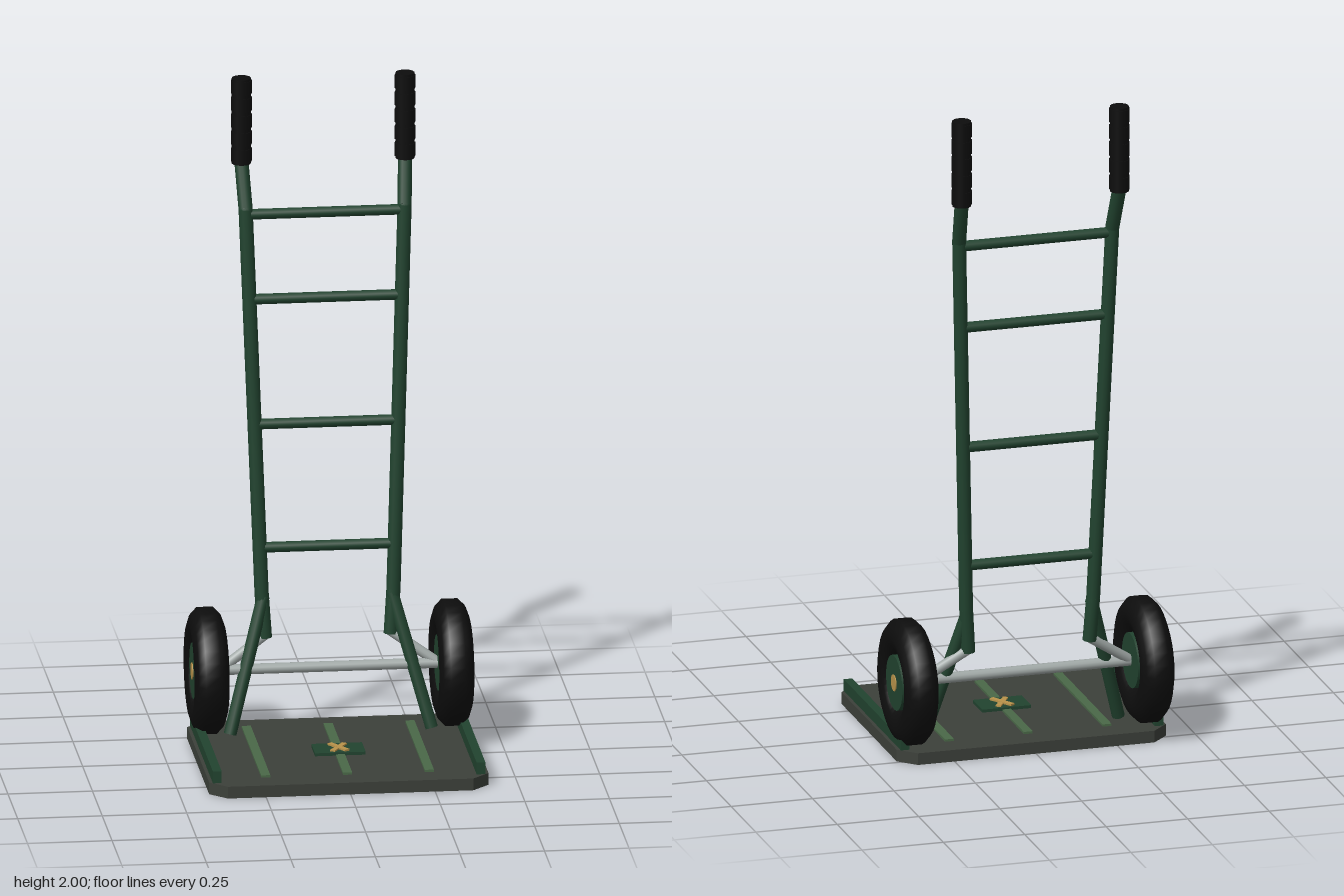
import * as THREE from 'three';

const mat = (name, color) => {
  const m = new THREE.MeshStandardMaterial({ color });
  m.name = name;
  return m;
};

export function createModel() {
  const root = new THREE.Group();
  root.name = 'handTruck';
  const green = mat('frame green', 0x21432f);
  const plate = mat('plate grey', 0x3c403a);
  const rib = mat('rib green', 0x4a6848);
  const black = mat('rubber black', 0x0d0d0d);
  const silver = mat('axle silver', 0xa0a8a6);
  const gold = mat('gold', 0xb8924a);

  const add = (name, geo, material, pos = [0, 0, 0], parent = root) => {
    const mesh = new THREE.Mesh(geo, material);
    mesh.name = name;
    mesh.position.set(...pos);
    parent.add(mesh);
    return mesh;
  };
  const box = (name, size, material, pos) => add(name, new THREE.BoxGeometry(...size), material, pos);

  // Straight round bar between two points
  const bar = (name, a, b, r, material) => {
    const p = new THREE.Vector3(...a), q = new THREE.Vector3(...b);
    const dir = q.clone().sub(p);
    const mesh = add(name, new THREE.CylinderGeometry(r, r, dir.length(), 12), material,
      p.clone().add(q).multiplyScalar(0.5).toArray());
    mesh.quaternion.setFromUnitVectors(new THREE.Vector3(0, 1, 0), dir.normalize());
    return mesh;
  };

  // Toe plate with clipped corners
  const w = 0.413, f = 0.37, b = 0.29, c = 0.05;
  const outline = new THREE.Shape([
    [-w + c, -f], [w - c, -f], [w, -f + c], [w, b - c],
    [w - c, b], [-w + c, b], [-w, b - c], [-w, -f + c],
  ].map(([x, y]) => new THREE.Vector2(x, y)));
  const plateGeo = new THREE.ExtrudeGeometry(outline, { depth: 0.036, bevelEnabled: false });
  plateGeo.rotateX(-Math.PI / 2);
  add('toePlate', plateGeo, plate, [0, 0.004, 0]);

  // Ribs on the plate
  for (const x of [-0.242, 0, 0.242]) box('plateRib', [0.027, 0.008, 0.5], rib, [x, 0.043, 0.04]);

  // Badge with crossed strips
  box('badge', [0.15, 0.009, 0.096], green, [0, 0.0475, 0.057]);
  for (const s of [-1, 1]) {
    box('badgeStrip', [0.016, 0.006, 0.084], gold, [0, 0.054 + s * 0.0005, 0.057]).rotation.y = s * 0.55;
  }

  // Wheel cross-section, revolved about the axle
  const tyreProfile = [
    [0.088, -0.026], [0.108, -0.044], [0.14, -0.052], [0.168, -0.042], [0.188, -0.022],
    [0.188, 0.022], [0.168, 0.042], [0.14, 0.052], [0.108, 0.044], [0.088, 0.026], [0.088, -0.026],
  ].map(([r, x]) => new THREE.Vector2(r, x));

  // Upright height to depth and half-width
  const railZ = (y) => -0.222 - (y - 0.42) * 0.053;
  const railX = (y) => 0.195 + (y - 0.45) * 0.0345;

  for (const s of [-1, 1]) {
    const side = s > 0 ? 'left' : 'right';

    // Raised edge of the plate
    box(side + 'PlateEdge', [0.026, 0.036, 0.58], green, [s * 0.39, 0.058, 0.04]);

    // Upright: foot, long rail and bend to the grip
    const foot = [s * 0.186, 0.315, -0.216], knee = [s * railX(0.45), 0.45, railZ(0.45)];
    const top = [s * railX(1.61), 1.61, railZ(1.61)], neck = [s * 0.242, 1.745, -0.334];
    bar(side + 'RailFoot', foot, knee, 0.021, green);
    bar(side + 'Rail', knee, top, 0.021, green);
    bar(side + 'RailBend', top, neck, 0.021, green);
    for (const p of [knee, top, neck]) add(side + 'RailJoint', new THREE.SphereGeometry(0.021, 12, 8), green, p);

    // Grip with ridges
    bar(side + 'Grip', [s * 0.242, 1.738, -0.334], [s * 0.242, 2, -0.334], 0.0285, black);
    for (let i = 0; i < 5; i++) {
      const y = 1.765 + i * 0.052;
      bar(side + 'GripRidge', [s * 0.242, y - 0.02, -0.334], [s * 0.242, y + 0.02, -0.334], 0.031, black);
    }

    // Braces to the plate and to the axle
    bar(side + 'PlateBrace', [s * 0.19, 0.44, -0.222], [s * 0.298, 0.045, -0.138], 0.019, green);
    bar(side + 'AxleBrace', [s * 0.182, 0.325, -0.218], [s * 0.315, 0.235, -0.187], 0.015, silver);

    // Wheel
    const wheel = new THREE.Group();
    wheel.name = side + 'Wheel';
    wheel.position.set(s * 0.362, 0.229, -0.185);
    wheel.rotation.z = -s * Math.PI / 2;
    root.add(wheel);
    add('tyre', new THREE.LatheGeometry(tyreProfile, 32), black, [0, 0, 0], wheel);
    add('hub', new THREE.CylinderGeometry(0.083, 0.083, 0.084, 24), green, [0, 0, 0], wheel);
    add('hubCap', new THREE.CylinderGeometry(0.025, 0.025, 0.004, 16), gold, [0, 0.043, 0], wheel);
  }

  // Axle
  bar('axle', [-0.34, 0.229, -0.185], [0.34, 0.229, -0.185], 0.016, silver);

  // Rungs between the uprights
  for (const y of [0.587, 0.96, 1.338, 1.595]) {
    bar('rung', [-railX(y), y, railZ(y)], [railX(y), y, railZ(y)], 0.016, green);
  }

  return root;
}
